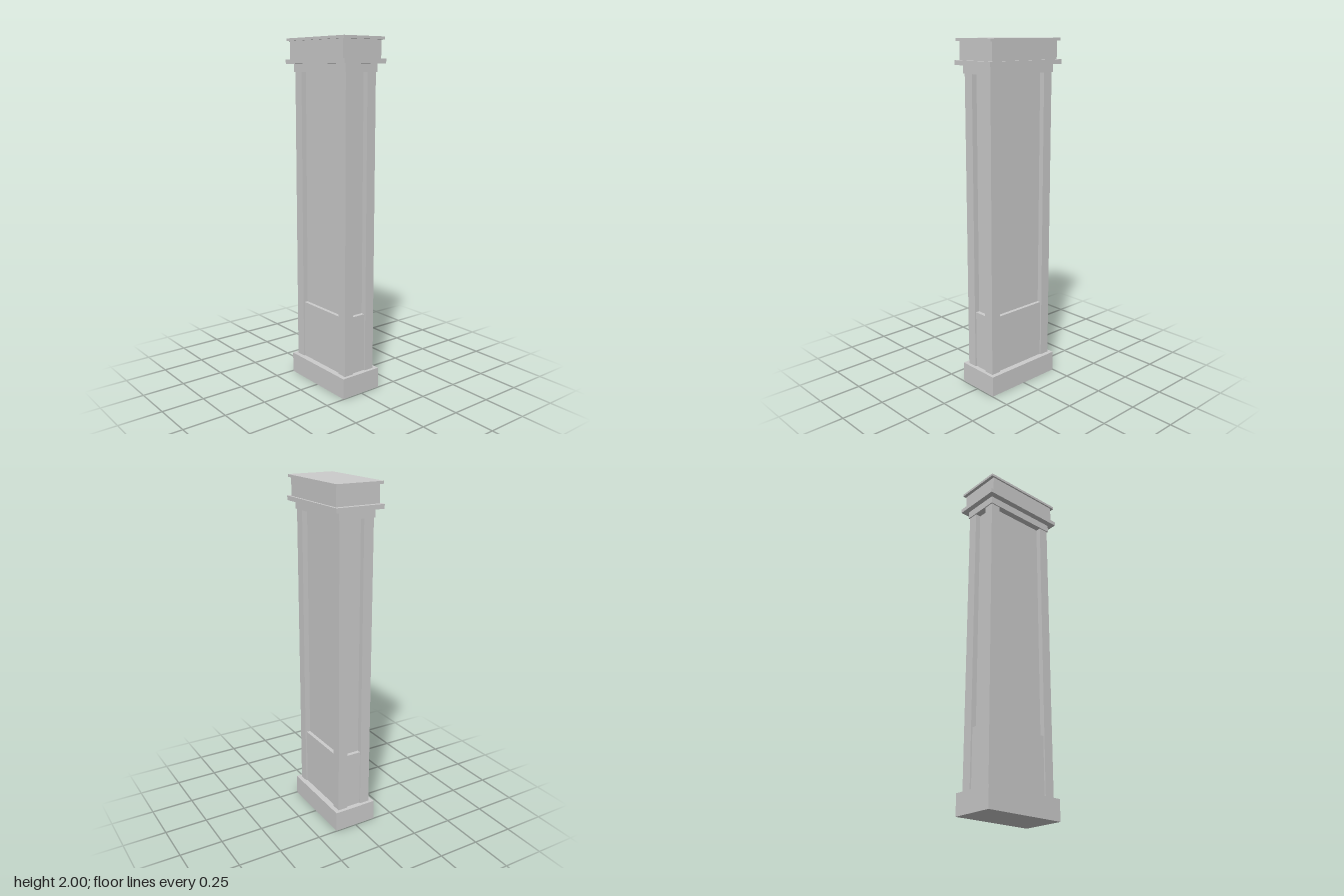
import * as THREE from 'three';

export function createModel() {
  const model = new THREE.Group();
  const material = new THREE.MeshStandardMaterial({ color: 0xcccccc, flatShading: true });

  // Box spanning y0..y1, given its half width and half depth
  function block(name, halfX, halfZ, y0, y1, x = 0, z = 0) {
    const mesh = new THREE.Mesh(new THREE.BoxGeometry(halfX * 2, y1 - y0, halfZ * 2), material);
    mesh.name = name;
    mesh.position.set(x, (y0 + y1) / 2, z);
    model.add(mesh);
  }

  const baseTop = 0.12, panelTop = 0.46, shaftTop = 1.815;

  // Plinth
  block('base', 0.247, 0.13, 0, baseTop);

  // Shaft: deep recessed core, with a shallower panel around its foot
  block('shaftCore', 0.195, 0.073, baseTop, shaftTop);
  block('lowerPanel', 0.218, 0.095, baseTop, panelTop);

  // Four corner posts framing the recesses
  for (const sx of [-1, 1]) {
    for (const sz of [-1, 1]) {
      block('cornerPost', 0.0295, 0.0295, baseTop, shaftTop, sx * 0.1975, sz * 0.0745);
    }
  }

  // Capital: collar, ledge, frieze and cap slab
  block('collar', 0.233, 0.11, shaftTop, 1.86);
  block('ledge', 0.264, 0.144, 1.86, 1.885);
  block('frieze', 0.238, 0.131, 1.885, 1.985);
  block('cap', 0.257, 0.14, 1.985, 2);

  return model;
}
